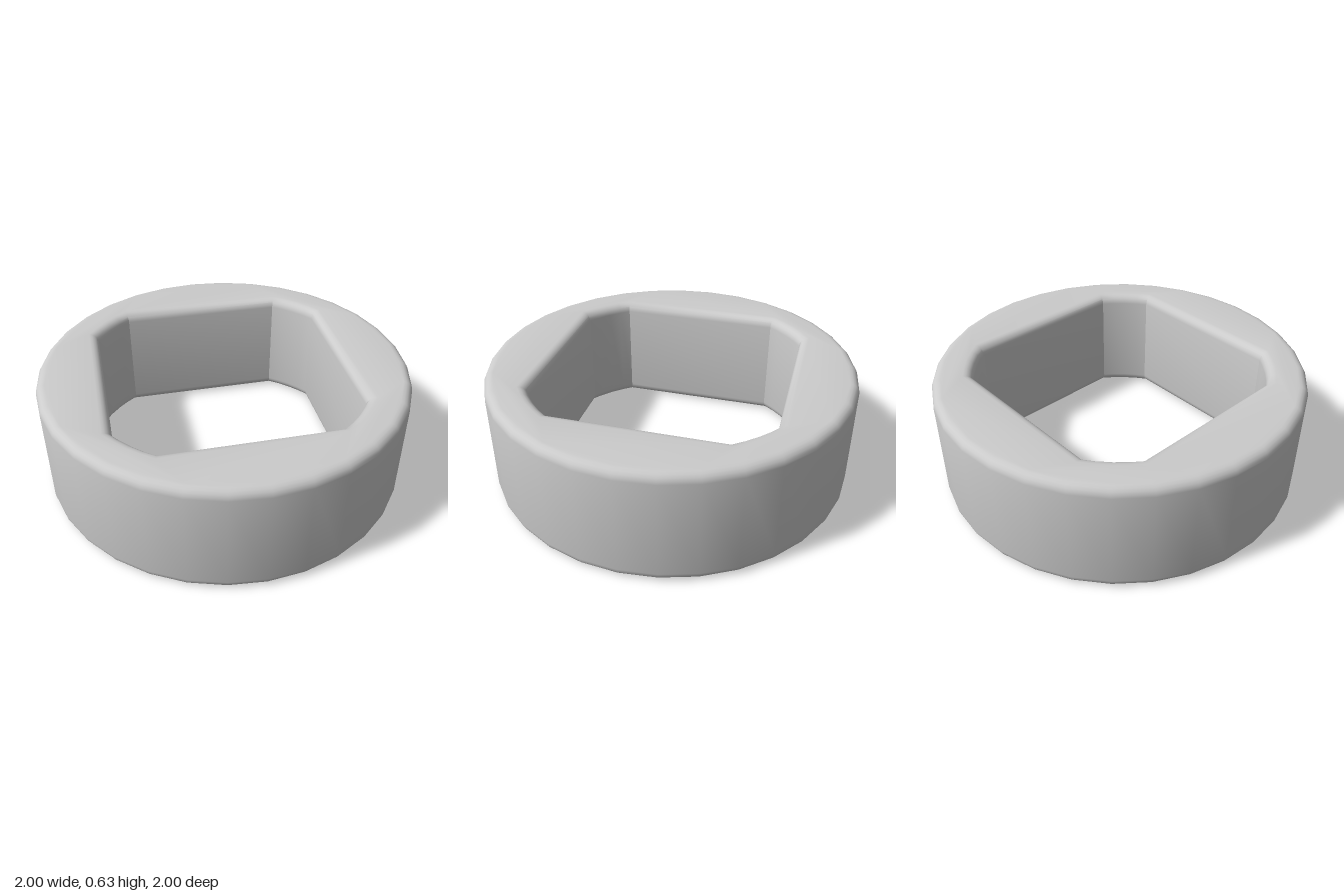
import * as THREE from 'three';
import { toCreasedNormals } from 'three/addons/utils/BufferGeometryUtils.js';

const HEIGHT = 0.635, BEVEL = 0.05, OUTER = 1;
const HOLE_HALF = 0.643, HOLE_RADIUS = 0.785; // flat walls, arc-cut corners

const polar = (r, a) => new THREE.Vector2(r * Math.cos(a), r * Math.sin(a));

export function createModel() {
  const group = new THREE.Group();
  group.name = 'ring';

  // Outer rim, inset so that the bevel brings it out to full size
  const rim = [];
  for (let i = 0; i < 32; i++) rim.push(polar(OUTER - BEVEL, (i / 32) * Math.PI * 2));
  const shape = new THREE.Shape(rim);

  // Square opening whose four corners are cut by a circle
  const r = HOLE_RADIUS + BEVEL;
  const start = Math.acos((HOLE_HALF + BEVEL) / r);
  const sweep = Math.PI / 2 - 2 * start;
  const opening = [];
  for (let corner = 0; corner < 4; corner++) {
    for (let i = 0; i <= 4; i++) {
      opening.push(polar(r, (corner * Math.PI) / 2 + start + (sweep * i) / 4));
    }
  }
  shape.holes.push(new THREE.Path(opening.reverse()));

  // Rounded edges top and bottom, both outside and inside
  const geometry = new THREE.ExtrudeGeometry(shape, {
    depth: HEIGHT - 2 * BEVEL,
    bevelEnabled: true,
    bevelSize: BEVEL,
    bevelThickness: BEVEL,
    bevelSegments: 5,
  });
  geometry.rotateX(-Math.PI / 2);
  geometry.translate(0, BEVEL, 0);

  const body = new THREE.Mesh(
    toCreasedNormals(geometry, 0.5),
    new THREE.MeshStandardMaterial({ color: 0xcccccc })
  );
  body.name = 'ringBody';
  group.add(body);
  return group;
}
